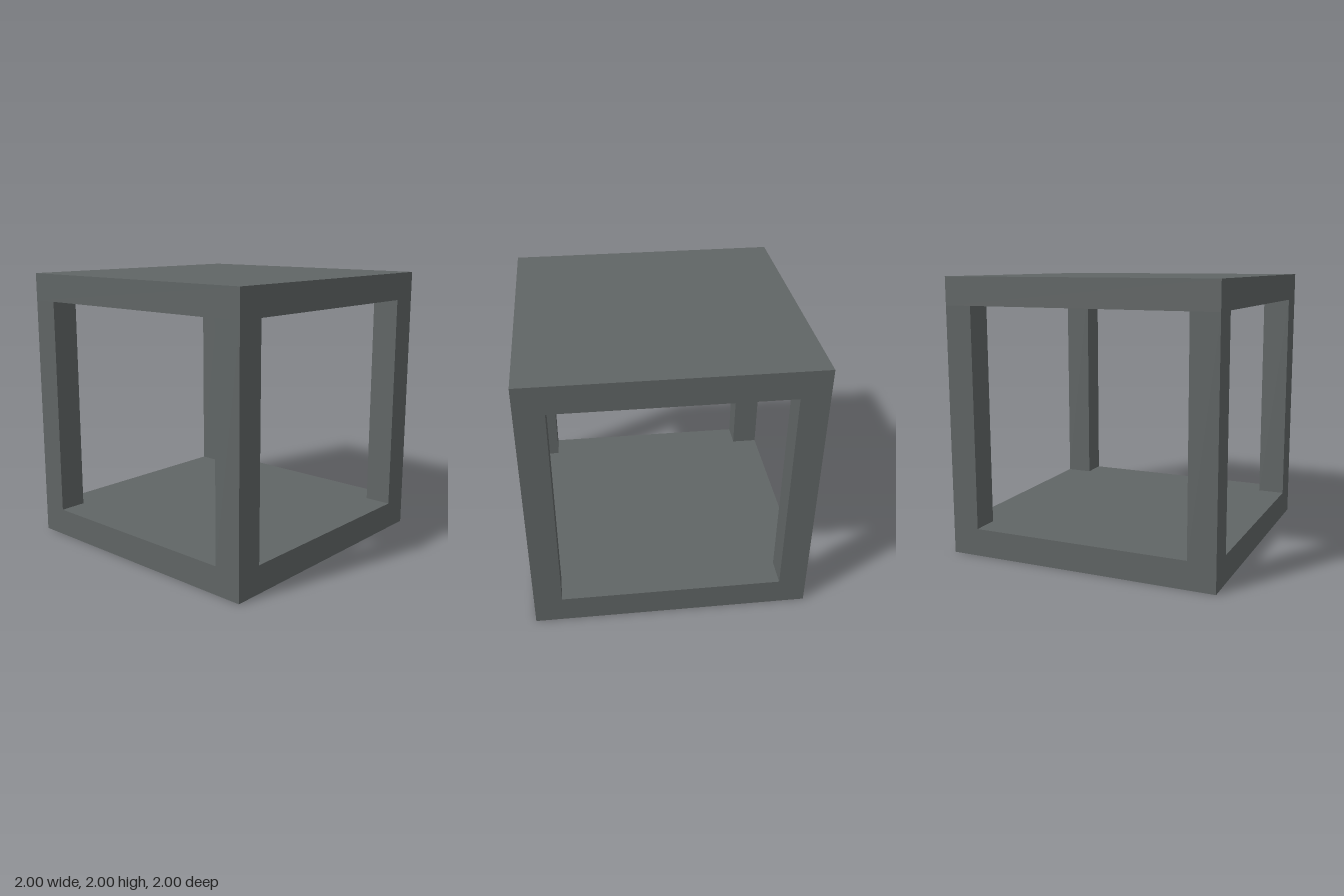
import * as THREE from 'three';

const SIZE = 2;
const THICK = 0.2;

export function createModel() {
  const group = new THREE.Group();
  group.name = 'openCube';
  const material = new THREE.MeshStandardMaterial({ color: 0x606565 });

  const addBox = (name, w, h, d, x, y, z) => {
    const mesh = new THREE.Mesh(new THREE.BoxGeometry(w, h, d), material);
    mesh.name = name;
    mesh.position.set(x, y, z);
    group.add(mesh);
  };

  // Solid floor and roof slabs
  addBox('floor', SIZE, THICK, SIZE, 0, THICK / 2, 0);
  addBox('roof', SIZE, THICK, SIZE, 0, SIZE - THICK / 2, 0);

  // Square corner posts, flush with the slab edges
  const offset = (SIZE - THICK) / 2;
  for (const [sideName, sx] of [['Left', 1], ['Right', -1]]) {
    for (const [endName, sz] of [['front', 1], ['back', -1]]) {
      addBox(`${endName}${sideName}Post`, THICK, SIZE - 2 * THICK, THICK, sx * offset, SIZE / 2, sz * offset);
    }
  }

  return group;
}
